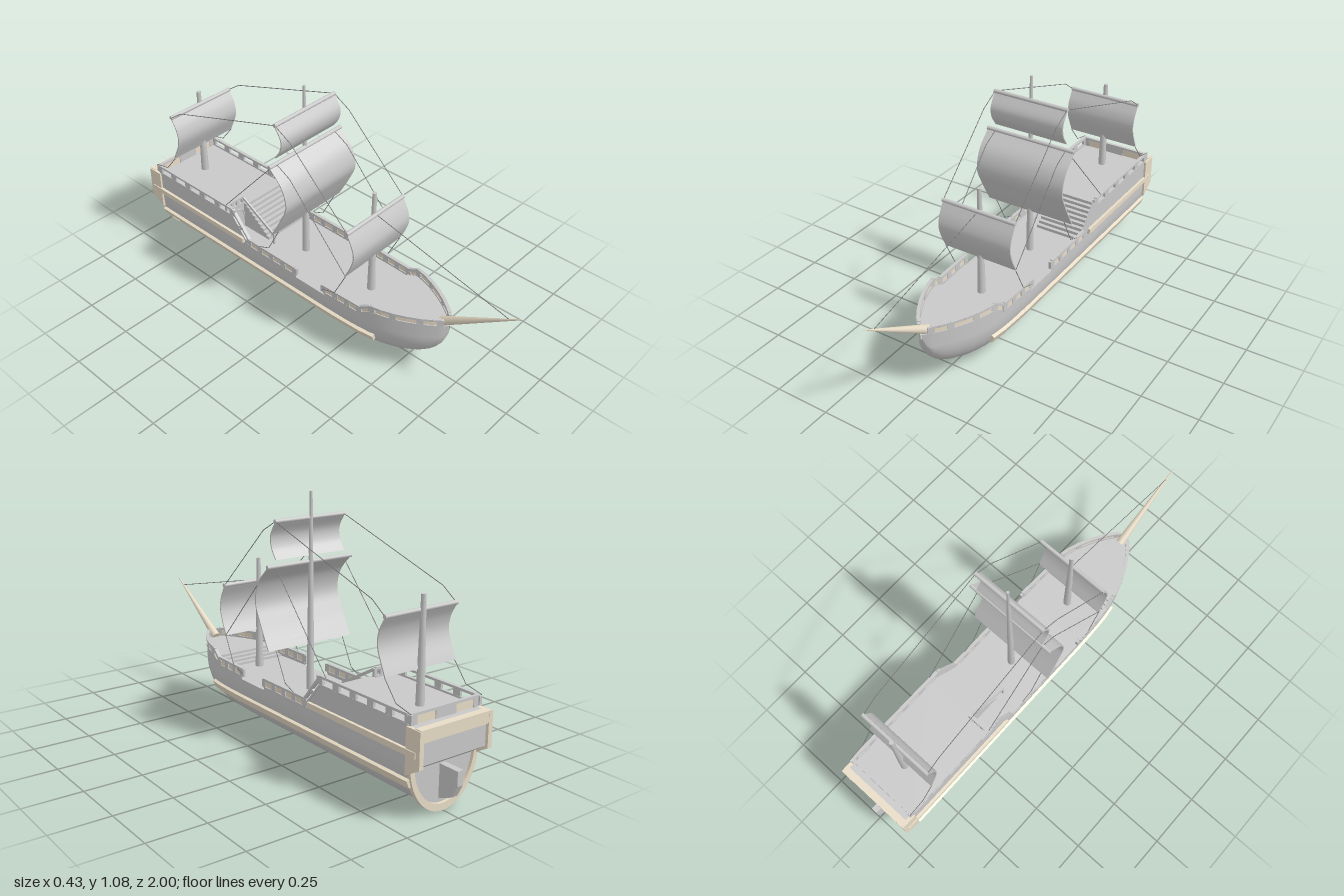
import * as THREE from 'three';

const V = (x, y, z) => new THREE.Vector3(x, y, z);
const lerpKeys = (keys, z) => {
  if (z >= keys[0][0]) return keys[0][1];
  for (let i = 1; i < keys.length; i++) {
    const [z0, v0] = keys[i - 1], [z1, v1] = keys[i];
    if (z >= z1) return v0 + (v1 - v0) * (z - z0) / (z1 - z0);
  }
  return keys[keys.length - 1][1];
};
// Hull half width, keel height and top edge, keyed by z
const WIDTH = [[0.69, 0.004], [0.67, 0.028], [0.64, 0.052], [0.6, 0.08], [0.55, 0.108], [0.5, 0.131], [0.45, 0.148], [0.4, 0.159], [0.33, 0.167], [0.2, 0.171]];
const KEEL = [[0.69, 0.26], [0.68, 0.22], [0.66, 0.17], [0.63, 0.127], [0.58, 0.09], [0.5, 0.058], [0.4, 0.037], [0.25, 0.025], [-0.91, 0.022]];
const TOP = [[0.4, 0.285], [0.35, 0.25], [-0.3, 0.25], [-0.4, 0.37]];
const SECTIONS = [0.69, 0.68, 0.67, 0.66, 0.64, 0.62, 0.6, 0.575, 0.55, 0.5, 0.45, 0.4, 0.35, 0.3, 0.25, 0.16, 0.159, -0.009, -0.01, -0.3, -0.4, -0.44, -0.91];
const halfWidth = z => lerpKeys(WIDTH, z);

export function createModel() {
  const ship = new THREE.Group();
  ship.name = 'sailingShip';
  const grey = new THREE.MeshStandardMaterial({ name: 'grey wood and canvas', color: 0xc8c8c8, side: THREE.DoubleSide });
  const beige = new THREE.MeshStandardMaterial({ name: 'beige trim', color: 0xe8dcc6, side: THREE.DoubleSide });
  const dark = new THREE.MeshStandardMaterial({ name: 'dark rope', color: 0x808080 });

  const add = (name, geo, mat = grey) => {
    const m = new THREE.Mesh(geo, mat);
    m.name = name;
    ship.add(m);
    return m;
  };
  const box = (name, w, h, d, x, y, z, mat) => {
    const m = add(name, new THREE.BoxGeometry(w, h, d), mat);
    m.position.set(x, y, z);
    return m;
  };
  const beam = (name, a, b, w, h, mat, roll = 0) => {
    const m = add(name, new THREE.BoxGeometry(w, h, a.distanceTo(b)), mat);
    m.position.copy(a).lerp(b, 0.5);
    m.lookAt(b);
    m.rotateZ(roll);
    return m;
  };
  const rod = (name, a, b, r0, r1, mat, sides = 12) => {
    const m = add(name, new THREE.CylinderGeometry(r1, r0, a.distanceTo(b), sides), mat);
    m.position.copy(a).lerp(b, 0.5);
    m.quaternion.setFromUnitVectors(V(0, 1, 0), b.clone().sub(a).normalize());
    return m;
  };
  // Smooth surface through rows of points
  const loft = rows => {
    const n = rows[0].length, pos = rows.flat().flatMap(p => p.toArray()), idx = [];
    for (let i = 0; i < rows.length - 1; i++)
      for (let j = 0; j < n - 1; j++) {
        const a = i * n + j, b = a + n;
        idx.push(a, a + 1, b, b, a + 1, b + 1);
      }
    const g = new THREE.BufferGeometry();
    g.setAttribute('position', new THREE.Float32BufferAttribute(pos, 3));
    g.setIndex(idx);
    g.computeVertexNormals();
    return g;
  };
  // Flat z-y outline extruded across the ship
  const sideProfile = (name, pts, x, thick, mat) => {
    const g = new THREE.ExtrudeGeometry(new THREE.Shape(pts.map(([z, y]) => new THREE.Vector2(-z, y))), { depth: thick, bevelEnabled: false });
    g.rotateY(Math.PI / 2).translate(x - thick / 2, 0, 0);
    return add(name, g, mat);
  };

  // Hull skin
  add('hull', loft(SECTIONS.map(z => {
    const w = halfWidth(z), k = lerpKeys(KEEL, z), c = Math.max(0.22, k + 0.015);
    const t = z < 0.1595 && z > -0.0095 ? 0.238 : lerpKeys(TOP, z);
    const row = [V(-w, t, z)];
    for (let i = 0; i <= 28; i++) {
      const a = Math.PI * (i / 28 - 0.5);
      row.push(V(w * Math.sin(a), c - (c - k) * Math.cos(a), z));
    }
    row.push(V(w, t, z));
    return row;
  })));
  box('keel', 0.03, 0.016, 1.15, 0, 0.024, -0.325);

  // Decks and the steps joining them
  const deck = (name, z0, z1, y) => add(name, loft([z0, ...SECTIONS.filter(z => z < z0 && z > z1), z1]
    .map(z => [V(-halfWidth(z), y, z), V(halfWidth(z), y, z)])));
  deck('foreDeck', 0.69, 0.4, 0.283);
  deck('mainDeck', 0.4, -0.44, 0.238);
  deck('quarterDeck', -0.44, -0.91, 0.367);
  for (let i = 0; i < 4; i++) {
    const h = 0.011 * (i + 1), z = 0.34 + 0.02 * i;
    box('foreStep', 2 * halfWidth(z + 0.02) - 0.004, h, 0.02, 0, 0.238 + h / 2, z);
  }
  for (let i = 0; i < 9; i++) {
    const h = 0.129 * (i + 1) / 9, d = 0.16 * (9 - i) / 9;
    box('sternStep', 0.235, h, d, 0.05, 0.238 + h / 2, -0.44 + d / 2);
  }
  box('cabinWall', 0.336, 0.129, 0.008, 0, 0.3025, -0.444);
  beam('stairHandrail', V(-0.07, 0.285, -0.24), V(-0.07, 0.4, -0.44), 0.007, 0.012);
  box('handrailPost', 0.008, 0.055, 0.008, -0.07, 0.265, -0.244);

  // Arched cabin door
  const arch = new THREE.Shape().moveTo(-0.045, 0.24).lineTo(0.045, 0.24).lineTo(0.045, 0.31);
  arch.absarc(0, 0.31, 0.045, 0, Math.PI, false);
  add('cabinDoor', new THREE.ExtrudeGeometry(arch, { depth: 0.006, bevelEnabled: false })).position.set(-0.118, 0, -0.44);
  const ring = add('doorFrame', new THREE.TorusGeometry(0.045, 0.004, 6, 16, Math.PI));
  ring.position.set(-0.118, 0.31, -0.434);

  // Bulwark rails: curb, top rail, posts and optional beige infill
  const rail = (pts, h, posts, filled, postLength = 0.028) => {
    const up = (p, d) => p.clone().add(V(0, d, 0));
    const len = pts.length - 1;
    for (let i = 0; i < len; i++) {
      const a = pts[i], b = pts[i + 1];
      beam('railCurb', up(a, 0.003), up(b, 0.003), 0.013, 0.008);
      beam('railTop', up(a, h - 0.005), up(b, h - 0.005), 0.015, 0.01);
      if (filled) beam('railPanel', up(a, h / 2), up(b, h / 2), 0.005, h - 0.012, beige);
    }
    for (let i = 0; i <= posts; i++) {
      const f = i / posts * len, k = Math.min(Math.floor(f), len - 1);
      const p = up(pts[k].clone().lerp(pts[k + 1], f - k), h / 2);
      const half = pts[k + 1].clone().sub(pts[k]).setLength(postLength / 2);
      beam('railPost', p.clone().sub(half), p.clone().add(half), 0.012, h - 0.008);
    }
  };
  for (const s of [-1, 1]) {
    const at = (z, y) => V(s * (halfWidth(z) - 0.002), y, z);
    rail([0.665, 0.64, 0.6, 0.55, 0.5, 0.45, 0.41].map(z => at(z, 0.285)), 0.038, 3, true);
    rail([at(0.41, 0.285), at(0.35, 0.25)], 0.038, 1, true);
    rail([at(0.35, 0.25), at(0.155, 0.25)], 0.042, 3, true);
    rail([at(-0.015, 0.25), at(-0.3, 0.25)], 0.042, 4, true);
    rail([at(-0.3, 0.25), at(-0.4, 0.37)], 0.042, 2, false, 0.02);
    rail([at(-0.4, 0.37), at(-0.905, 0.37)], 0.042, 5, false, 0.035);
    // Beige strakes along the sides
    const strake = [0.42, 0.35, 0.2, -0.91].map(z => V(s * (halfWidth(z) * 0.927 + 0.004), 0.145, z));
    for (let i = 0; i < 3; i++) beam('lowerStrake', strake[i], strake[i + 1], 0.016, 0.034, beige, 0.4 * s);
    beam('upperStrake', V(s * 0.176, 0.271, -0.33), V(s * 0.176, 0.271, -0.955), 0.016, 0.024, beige);
  }
  rail([V(-0.165, 0.367, -0.444), V(-0.07, 0.367, -0.444)], 0.042, 3, false, 0.014);
  // Stern rail with two beige panels
  box('sternRailTop', 0.34, 0.01, 0.014, 0, 0.407, -0.91);
  for (const s of [-1, 1]) {
    box('sternRailPanel', 0.09, 0.036, 0.006, s * 0.095, 0.385, -0.91, beige);
    box('sternRailPost', 0.03, 0.036, 0.013, s * 0.155, 0.385, -0.91);
  }
  box('sternRailPost', 0.1, 0.036, 0.013, 0, 0.385, -0.91);

  // Lower transom with beige U-shaped frame
  const halfOval = (shape, rx, ry) => shape.absellipse(0, 0.22, rx, ry, Math.PI, Math.PI * 2, false);
  const plate = halfOval(new THREE.Shape(), 0.17, 0.198).lineTo(0.17, 0.366).lineTo(-0.17, 0.366);
  add('transom', new THREE.ShapeGeometry(plate, 24)).position.z = -0.908;
  const u = halfOval(new THREE.Shape(), 0.17, 0.22);
  u.absellipse(0, 0.22, 0.15, 0.19, Math.PI * 2, Math.PI, true);
  add('transomFrame', new THREE.ExtrudeGeometry(u, { depth: 0.02, bevelEnabled: false, curveSegments: 24 }), beige).position.z = -0.92;

  // Overhanging stern gallery
  sideProfile('sternGallery', [[-0.9, 0.366], [-0.962, 0.366], [-0.962, 0.228], [-0.9, 0.185]], 0, 0.33);
  for (const s of [-1, 1])
    sideProfile('galleryFrame', [[-0.902, 0.366], [-0.975, 0.366], [-0.975, 0.222], [-0.902, 0.178]], s * 0.17, 0.02, beige);
  box('galleryTop', 0.35, 0.01, 0.032, 0, 0.364, -0.959, beige);
  box('galleryBand', 0.33, 0.045, 0.014, 0, 0.342, -0.967, beige);

  // Rudder
  sideProfile('rudder', [[-0.905, 0.185], [-1, 0.185], [-1, 0.125], [-0.975, 0.075], [-0.905, 0.045]], 0, 0.028);

  // Masts and bowsprit
  rod('foreMast', V(0, 0.238, 0.275), V(0, 0.74, 0.275), 0.018, 0.009);
  rod('mainMast', V(0, 0.238, -0.11), V(0, 1.08, -0.11), 0.017, 0.006);
  rod('mizzenMast', V(0, 0.367, -0.78), V(0, 0.79, -0.78), 0.018, 0.01);
  rod('bowsprit', V(0, 0.286, 0.65), V(0, 0.515, 1), 0.02, 0.002, beige);

  // Yards with thin billowing sails, profile given as z, y
  const sail = (name, hw, pts) => {
    const curve = new THREE.CatmullRomCurve3(pts.map(([z, y]) => V(0, y, z)));
    const loops = curve.getPoints(20).map(({ y, z }) =>
      [V(-hw, y, z), V(hw, y, z), V(hw, y, z - 0.006), V(-hw, y, z - 0.006), V(-hw, y, z)]);
    for (let k = 0; k < 4; k++) add(name, loft(loops.map(c => [c[k], c[k + 1]])));
    const [z, y] = pts[0];
    rod(name + 'Yard', V(-hw - 0.002, y, z), V(hw + 0.002, y, z), 0.009, 0.009);
  };
  sail('foreSail', 0.175, [[0.285, 0.636], [0.315, 0.575], [0.324, 0.53], [0.31, 0.475], [0.28, 0.412]]);
  sail('mainSail', 0.213, [[-0.105, 0.79], [-0.035, 0.715], [-0.013, 0.63], [-0.045, 0.55], [-0.105, 0.44]]);
  sail('topSail', 0.175, [[-0.105, 0.972], [-0.07, 0.91], [-0.075, 0.865], [-0.105, 0.817]]);
  sail('mizzenSail', 0.175, [[-0.772, 0.73], [-0.74, 0.67], [-0.733, 0.615], [-0.775, 0.51]]);

  // Rigging
  const rope = (...pts) => {
    for (let i = 1; i < pts.length; i++) rod('rope', V(...pts[i - 1]), V(...pts[i]), 0.0017, 0.0017, dark, 5);
  };
  rope([0, 0.485, 0.95], [0, 0.64, 0.28]);
  for (const s of [-1, 1]) {
    const x = 0.174 * s;
    rope([x, 0.64, 0.28], [x, 0.925, -0.02], [x, 0.972, -0.105], [x, 0.78, -0.7], [x, 0.73, -0.772]);
    rope([x, 0.412, 0.28], [x, 0.75, -0.03], [x, 0.79, -0.105], [x, 0.412, -0.44]);
    rope([x, 0.412, 0.28], [x, 0.29, 0.22], [x, 0.268, 0.15]);
    rope([x, 0.44, -0.105], [x, 0.315, -0.17], [x, 0.282, -0.25], [x, 0.292, -0.31]);
    rope([x, 0.51, -0.775], [x, 0.43, -0.84], [x, 0.412, -0.92]);
  }
  return ship;
}
